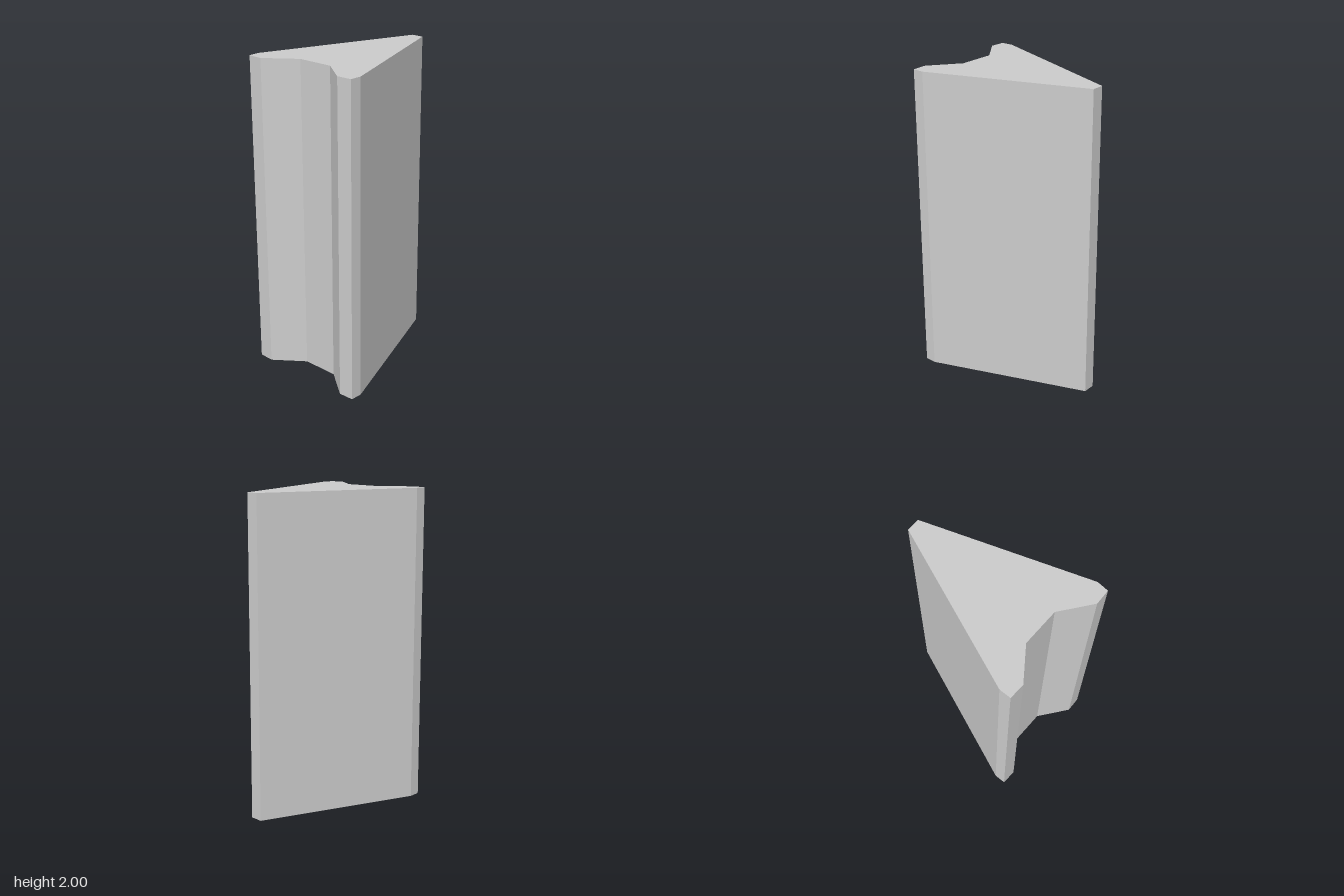
import * as THREE from 'three';

export function createModel() {
  const group = new THREE.Group();

  // Half of the plan outline as [x, z], from the narrow back to the notched front
  const half = [[0.04, -0.532], [0.405, 0.452], [0.402, 0.526], [0.305, 0.53], [0.118, 0.39]];
  const mirrored = half.map(([x, z]) => [-x, z]).reverse();
  const outline = [...half, ...mirrored].map(([x, z]) => new THREE.Vector2(x, -z));

  // Wedge-shaped prism, extruded upwards
  const geometry = new THREE.ExtrudeGeometry(new THREE.Shape(outline), { depth: 2, bevelEnabled: false });
  geometry.rotateX(-Math.PI / 2);

  const prism = new THREE.Mesh(geometry, new THREE.MeshStandardMaterial({ color: 0xcccccc, flatShading: true }));
  prism.name = 'notchedWedgePrism';
  group.add(prism);
  return group;
}
